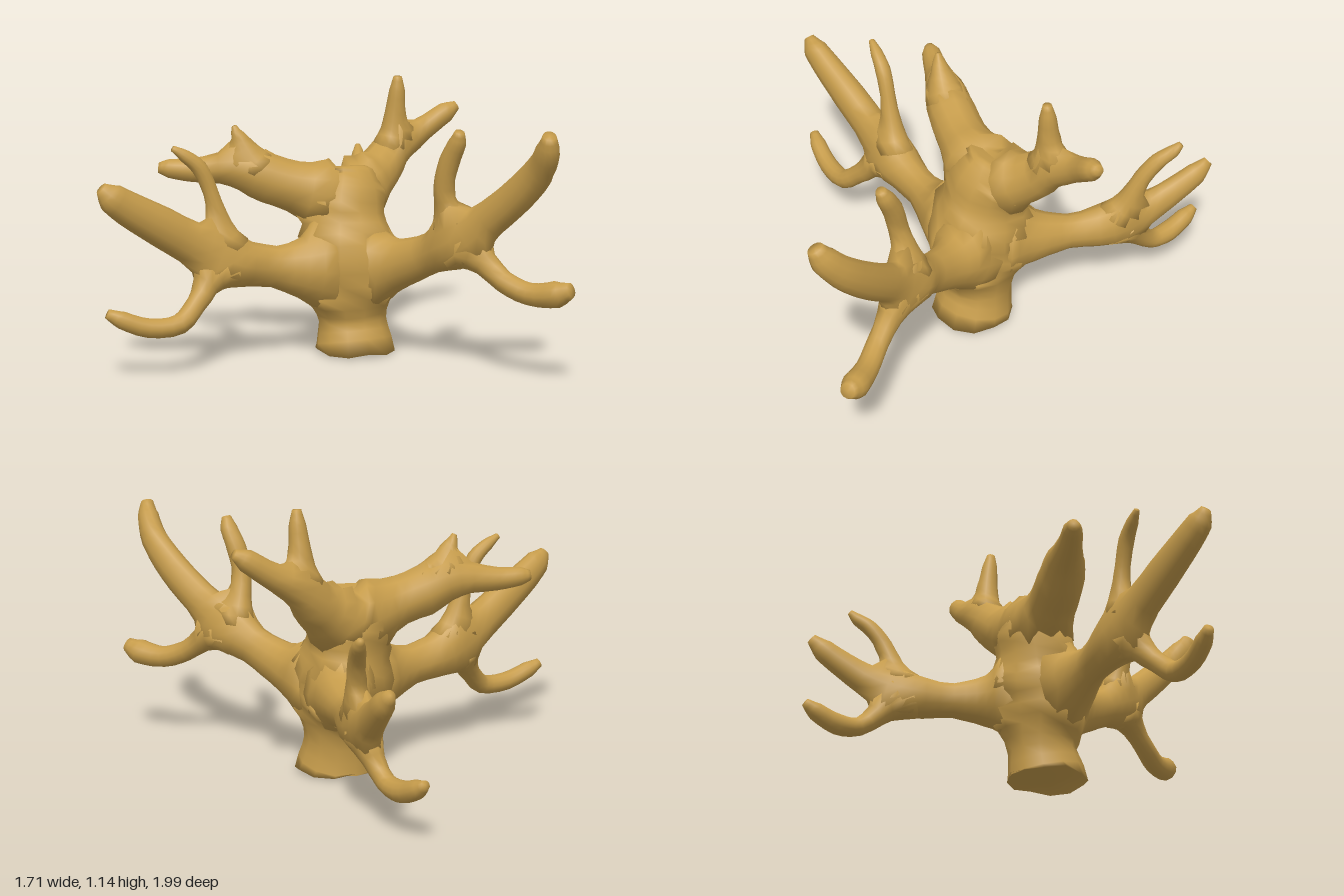
import * as THREE from 'three';

const SIDES = 12;
const STEPS = 3;
const BLEND = 0.1; // width of the fillet where two limbs meet
const REACH = 0.08; // furthest a fillet may swell

// Distance from p to a limb's skin, negative inside
function distanceTo({ points, tall }, p) {
  let best = Infinity;
  for (let i = 1; i < points.length; i++) {
    const [ax, ay, az, ar] = points[i - 1], [bx, by, bz, br] = points[i];
    const dx = bx - ax, dy = by - ay, dz = bz - az;
    const along = ((p.x - ax) * dx + (p.y - ay) * dy + (p.z - az) * dz) / (dx * dx + dy * dy + dz * dz);
    const t = THREE.MathUtils.clamp(along, 0, 1);
    const d = Math.hypot(p.x - ax - dx * t, (p.y - ay - dy * t) / tall, p.z - az - dz * t);
    best = Math.min(best, d - ar - (br - ar) * t);
  }
  return best;
}

// How far a skin point must swell along its outward direction to form a fillet with the other limbs
function filletSwell(skin, out, others) {
  if (others.some((o) => distanceTo(o, skin) < -0.02)) return 0;
  const p = new THREE.Vector3();
  let s = 0;
  for (; s < REACH; s += 0.005) {
    p.copy(skin).addScaledVector(out, s);
    let field = s;
    for (const o of others) {
      const d = distanceTo(o, p);
      const h = Math.max(BLEND - Math.abs(field - d), 0) / BLEND;
      field = Math.min(field, d) - (h * h * BLEND) / 4;
    }
    if (field >= 0) break;
  }
  return s;
}

// Sweep a tapered tube along a limb and swell it where it meets its neighbours
function limbGeometry(limb, others) {
  const { points, tall } = limb;
  const path = points.map(([x, y, z]) => new THREE.Vector3(x, y, z));
  const curve = new THREE.CatmullRomCurve3(path);
  const rise = path[path.length - 1].clone().sub(path[0]).normalize().y;
  const ref = rise > 0.75 ? new THREE.Vector3(0, 0, 1) : new THREE.Vector3(0, 1, 0);
  const n = (points.length - 1) * STEPS;
  const pos = [], index = [];

  for (let i = 0; i <= n; i++) {
    const c = curve.getPoint(i / n), t = curve.getTangent(i / n);
    const u = ref.clone().cross(t).normalize();
    const v = t.clone().cross(u);
    const a = Math.min(Math.floor(i / STEPS), points.length - 2);
    const r = THREE.MathUtils.lerp(points[a][3], points[a + 1][3], i / STEPS - a);
    for (let j = 0; j < SIDES; j++) {
      const w = (j / SIDES) * Math.PI * 2;
      const out = u.clone().multiplyScalar(Math.cos(w)).addScaledVector(v, Math.sin(w) * tall);
      const p = c.clone().addScaledVector(out, r);
      p.addScaledVector(out.normalize(), filletSwell(p, out, others));
      pos.push(p.x, p.y, p.z);
    }
  }
  for (let i = 0; i < n; i++) {
    for (let j = 0; j < SIDES; j++) {
      const a = i * SIDES + j, b = i * SIDES + (j + 1) % SIDES;
      index.push(a, b, a + SIDES, b, b + SIDES, a + SIDES);
    }
  }
  // End caps
  const first = pos.length / 3, last = first + 1, top = n * SIDES;
  pos.push(...path[0].toArray(), ...path[path.length - 1].toArray());
  for (let j = 0; j < SIDES; j++) {
    const m = (j + 1) % SIDES;
    index.push(first, m, j, last, top + j, top + m);
  }
  const g = new THREE.BufferGeometry();
  g.setAttribute('position', new THREE.Float32BufferAttribute(pos, 3));
  g.setIndex(index);
  return g;
}

// Scallop the lower edge of the trunk
function scallopFoot(geometry) {
  const p = geometry.attributes.position;
  for (let j = 0; j < SIDES; j++) p.setY(j, 0.009 * (1 + Math.cos((j / SIDES) * Math.PI * 8)));
}

export function createModel() {
  const model = new THREE.Group();
  model.name = 'branchingStump';
  const wood = new THREE.MeshStandardMaterial({ color: 0xc69c4b });
  wood.name = 'wood';

  // Each limb runs through points [x, y, z, radius]; tall stretches its vertical axis
  const limbs = [];
  const limb = (name, points, tall = 1) => limbs.push({ name, points, tall });

  limb('trunk', [
    [0.29, 0, 0.025, 0.172], [0.285, 0.13, 0, 0.142], [0.275, 0.25, 0, 0.16], [0.27, 0.4, -0.01, 0.185],
    [0.27, 0.54, -0.035, 0.163], [0.28, 0.66, -0.055, 0.145], [0.29, 0.735, -0.07, 0.1], [0.29, 0.765, -0.08, 0.05],
  ]);

  // Crown limb running over the top of the trunk, with two spikes
  limb('crownLimb', [
    [-0.49, 0.785, -0.245, 0.022], [-0.45, 0.782, -0.23, 0.04], [-0.36, 0.775, -0.195, 0.05],
    [-0.2, 0.78, -0.14, 0.07], [-0.06, 0.735, -0.095, 0.09], [0.1, 0.69, -0.065, 0.11],
    [0.28, 0.665, -0.07, 0.115], [0.42, 0.71, -0.12, 0.098], [0.54, 0.81, -0.175, 0.065],
    [0.68, 0.895, -0.195, 0.052], [0.79, 0.97, -0.185, 0.045], [0.84, 1.0, -0.18, 0.02],
  ]);
  limb('crownSpikeRight', [
    [-0.06, 0.74, -0.1, 0.055], [-0.13, 0.82, -0.1, 0.05], [-0.175, 0.9, -0.105, 0.034], [-0.202, 0.965, -0.11, 0.01],
  ]);
  limb('crownSpikeLeft', [
    [0.49, 0.76, -0.15, 0.045], [0.53, 0.88, -0.16, 0.043], [0.54, 0.98, -0.155, 0.044],
    [0.545, 1.08, -0.145, 0.034], [0.545, 1.14, -0.14, 0.018],
  ]);

  // Right limb and its twigs
  limb('rightLimb', [
    [0.25, 0.37, 0.02, 0.11], [0.1, 0.37, 0.03, 0.112], [-0.08, 0.39, 0.04, 0.07],
    [-0.25, 0.42, 0.05, 0.07], [-0.4, 0.49, 0.07, 0.07], [-0.58, 0.6, 0.105, 0.066],
    [-0.73, 0.69, 0.135, 0.056], [-0.8, 0.74, 0.15, 0.048], [-0.84, 0.78, 0.155, 0.02],
  ], 1.25);
  limb('rightLowerTwig', [
    [-0.24, 0.415, 0.055, 0.03], [-0.36, 0.37, 0.09, 0.045], [-0.45, 0.28, 0.14, 0.042], [-0.53, 0.212, 0.175, 0.042],
    [-0.66, 0.207, 0.18, 0.04], [-0.77, 0.247, 0.17, 0.036], [-0.825, 0.275, 0.16, 0.02],
  ]);
  limb('rightUpperTwig', [
    [-0.25, 0.44, 0.055, 0.035], [-0.31, 0.58, 0.05, 0.035], [-0.355, 0.72, 0.045, 0.032],
    [-0.4, 0.82, 0.04, 0.033], [-0.46, 0.872, 0.035, 0.026], [-0.51, 0.905, 0.03, 0.012],
  ]);

  // Front limb and its twigs
  limb('frontLimb', [
    [0.29, 0.36, 0, 0.11], [0.36, 0.375, 0.12, 0.11], [0.42, 0.415, 0.25, 0.082], [0.485, 0.475, 0.38, 0.066],
    [0.55, 0.55, 0.51, 0.066], [0.62, 0.65, 0.63, 0.064], [0.68, 0.76, 0.75, 0.06],
    [0.715, 0.87, 0.86, 0.054], [0.71, 0.96, 0.935, 0.046], [0.7, 1.02, 0.965, 0.026],
  ], 1.2);
  limb('frontLowerTwig', [
    [0.51, 0.5, 0.43, 0.03], [0.59, 0.485, 0.57, 0.045], [0.655, 0.405, 0.69, 0.044],
    [0.725, 0.367, 0.78, 0.046], [0.795, 0.38, 0.875, 0.054], [0.83, 0.405, 0.925, 0.03],
  ]);
  limb('frontUpperTwig', [
    [0.53, 0.52, 0.46, 0.035], [0.51, 0.63, 0.465, 0.042], [0.48, 0.76, 0.49, 0.041],
    [0.49, 0.87, 0.52, 0.042], [0.505, 0.95, 0.56, 0.036], [0.505, 0.995, 0.58, 0.02],
  ]);

  // Back limb and its twigs
  limb('backLimb', [
    [0.29, 0.37, 0, 0.11], [0.335, 0.365, -0.11, 0.12], [0.39, 0.36, -0.22, 0.094], [0.435, 0.355, -0.35, 0.066],
    [0.49, 0.36, -0.52, 0.06], [0.53, 0.4, -0.67, 0.06], [0.565, 0.48, -0.8, 0.05],
    [0.585, 0.54, -0.885, 0.043], [0.59, 0.585, -0.94, 0.02],
  ], 1.15);
  limb('backLowerTwig', [
    [0.47, 0.355, -0.47, 0.03], [0.5, 0.285, -0.62, 0.04], [0.495, 0.185, -0.745, 0.039],
    [0.485, 0.175, -0.84, 0.044], [0.475, 0.21, -0.94, 0.038], [0.47, 0.24, -0.99, 0.018],
  ]);
  limb('backUpperTwig', [
    [0.49, 0.37, -0.52, 0.035], [0.53, 0.49, -0.58, 0.037], [0.555, 0.6, -0.625, 0.036],
    [0.58, 0.68, -0.68, 0.034], [0.605, 0.725, -0.735, 0.027], [0.615, 0.755, -0.765, 0.013],
  ]);

  for (const part of limbs) {
    const geometry = limbGeometry(part, limbs.filter((o) => o !== part));
    if (part.name === 'trunk') scallopFoot(geometry);
    geometry.computeVertexNormals();
    const mesh = new THREE.Mesh(geometry, wood);
    mesh.name = part.name;
    model.add(mesh);
  }
  return model;
}
